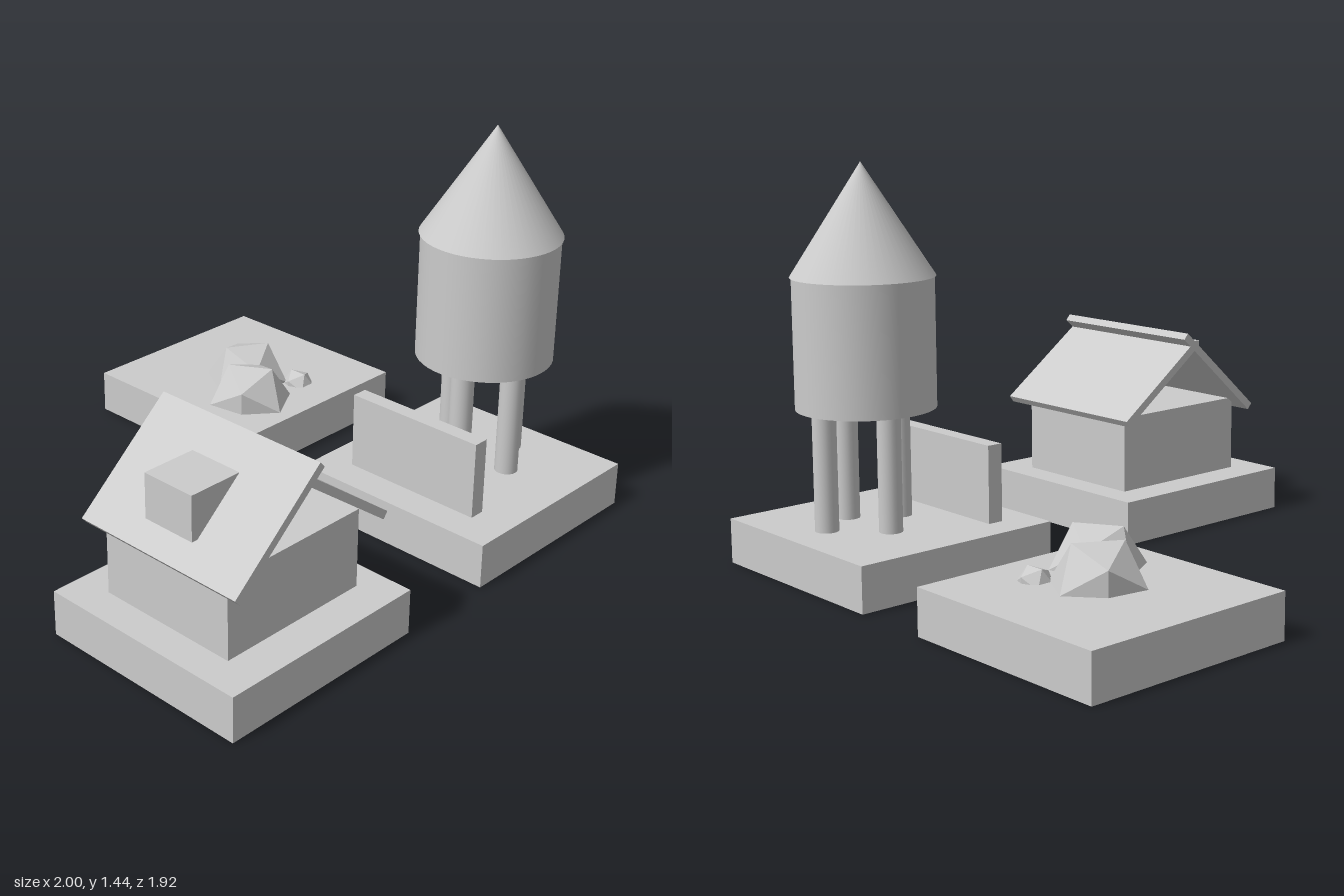
import * as THREE from 'three';

const smooth = new THREE.MeshStandardMaterial({ color: 0xcccccc });
const flat = new THREE.MeshStandardMaterial({ color: 0xcccccc, flatShading: true });
const BASE_TOP = 0.163;

function add(parent, name, geometry, x, y, z, material = smooth) {
  const mesh = new THREE.Mesh(geometry, material);
  mesh.name = name;
  mesh.position.set(x, y, z);
  parent.add(mesh);
  return mesh;
}

function addGroup(parent, name) {
  const group = new THREE.Group();
  group.name = name;
  parent.add(group);
  return group;
}

// Box given by its extents
function addBlock(parent, name, [x0, x1], [y0, y1], [z0, z1]) {
  const geometry = new THREE.BoxGeometry(x1 - x0, y1 - y0, z1 - z0);
  return add(parent, name, geometry, (x0 + x1) / 2, (y0 + y1) / 2, (z0 + z1) / 2);
}

function addBase(parent, x, z) {
  add(parent, 'base', new THREE.BoxGeometry(0.81, BASE_TOP, 0.81), x, BASE_TOP / 2, z);
}

function buildHouse(parent) {
  const house = addGroup(parent, 'house');
  addBase(house, -0.595, 0.555);
  addBlock(house, 'walls', [-0.88, -0.293], [BASE_TOP, 0.448], [0.28, 0.82]);

  // Two roof slabs over open gables; the left one runs past the ridge
  const left = add(house, 'leftRoof', new THREE.BoxGeometry(0.482, 0.029, 0.68), -0.735, 0.577, 0.555);
  left.rotation.z = 0.725;
  const right = add(house, 'rightRoof', new THREE.BoxGeometry(0.425, 0.029, 0.68), -0.423, 0.564, 0.555);
  right.rotation.z = -0.632;

  // Dormer wedge rising out of the left roof
  const side = new THREE.Shape([
    new THREE.Vector2(-0.866, 0.66), new THREE.Vector2(-0.866, 0.5), new THREE.Vector2(-0.835, 0.5),
    new THREE.Vector2(-0.66, 0.648), new THREE.Vector2(-0.66, 0.66),
  ]);
  add(house, 'dormer', new THREE.ExtrudeGeometry(side, { depth: 0.205, bevelEnabled: false }), 0, 0, 0.45);
}

function buildTower(parent) {
  const tower = addGroup(parent, 'waterTower');
  const x = 0.68, z = 0.56;
  addBase(tower, 0.595, 0.555);
  addBlock(tower, 'wallSlab', [0.313, 0.372], [BASE_TOP, 0.446], [0.27, 0.818]);

  for (const [lx, lz] of [[0.68, 0.69], [0.68, 0.43], [0.524, 0.59], [0.837, 0.59]]) {
    add(tower, 'leg', new THREE.CylinderGeometry(0.042, 0.042, 0.44, 24), lx, BASE_TOP + 0.215, lz);
  }
  add(tower, 'tank', new THREE.CylinderGeometry(0.246, 0.246, 0.462, 48), x, 0.816, z);
  add(tower, 'tankRoof', new THREE.ConeGeometry(0.252, 0.393, 48), x, 1.2415, z);
}

function buildRocks(parent) {
  const garden = addGroup(parent, 'rockGarden');
  addBase(garden, 0.595, -0.555);
  // Half-buried rocks: x, z, radius, turn
  const rocks = [[0.436, -0.37, 0.165, -1.04], [0.572, -0.52, 0.165, -0.52], [0.684, -0.345, 0.067, 1.57]];
  for (const [x, z, radius, turn] of rocks) {
    const y = radius > 0.1 ? BASE_TOP : BASE_TOP - 0.015;
    add(garden, 'rock', new THREE.IcosahedronGeometry(radius, 0), x, y, z, flat).rotation.y = turn;
  }
}

export function createModel() {
  const model = new THREE.Group();
  model.name = 'villageTiles';
  buildHouse(model);
  buildTower(model);
  buildRocks(model);
  return model;
}
